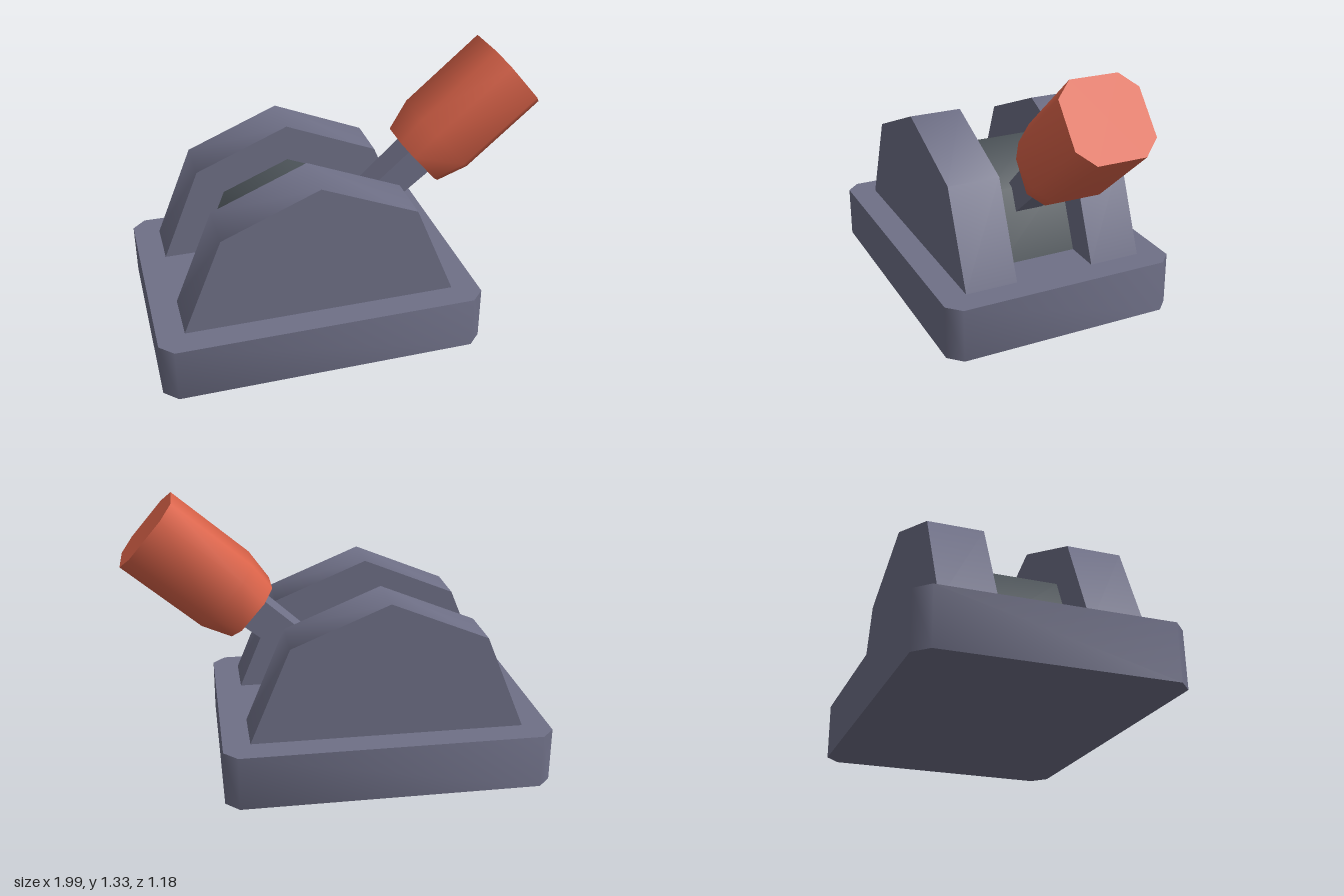
import * as THREE from 'three';
import { toCreasedNormals } from 'three/addons/utils/BufferGeometryUtils.js';

const material = (name, color) => new THREE.MeshStandardMaterial({ name, color });

const BASE_TOP = 0.265;
const ARCH_X = -0.215;

// Soften the 45 degree edges, keep right angles sharp
const soften = (geometry) => toCreasedNormals(geometry, 0.9);

// Corners of a square with cut corners: half width w, half straight side s
const cutSquare = (w, s, h = w) => {
  const cut = w - s;
  return [
    [w, -h + cut], [w, h - cut], [w - cut, h], [-w + cut, h],
    [-w, h - cut], [-w, -h + cut], [-w + cut, -h], [w - cut, -h],
  ];
};

const extrude = (points, depth) => new THREE.ExtrudeGeometry(
  new THREE.Shape(points.map(([x, y]) => new THREE.Vector2(x, y))),
  { depth, bevelEnabled: false },
);

// Half octagon standing on the base, spanning z0 to z1
function archGeometry(radius, z0, z1) {
  const points = [];
  for (let i = 0; i <= 4; i++) {
    const a = (i * Math.PI) / 4;
    points.push([radius * Math.cos(a), radius * Math.sin(a)]);
  }
  return soften(extrude(points, z1 - z0).translate(ARCH_X, BASE_TOP, z0));
}

// Closed loft along y through cut-square sections [y, w, s]
function loftGeometry(sections) {
  const rings = sections.map(([y, w, s]) =>
    cutSquare(w, s).map(([x, z]) => [x, y, -z]));
  const n = rings[0].length;
  const positions = [];
  const tri = (a, b, c) => positions.push(...a, ...b, ...c);
  const last = rings.length - 1;
  for (let i = 0; i < n; i++) {
    const j = (i + 1) % n;
    for (let k = 0; k < last; k++) {
      const lower = rings[k];
      const upper = rings[k + 1];
      tri(lower[i], lower[j], upper[j]);
      tri(lower[i], upper[j], upper[i]);
    }
    tri(rings[0][j], rings[0][i], [0, sections[0][0], 0]);
    tri(rings[last][i], rings[last][j], [0, sections[last][0], 0]);
  }
  const geometry = new THREE.BufferGeometry();
  geometry.setAttribute('position', new THREE.Float32BufferAttribute(positions, 3));
  return soften(geometry);
}

export function createModel() {
  const housing = material('blue grey housing', 0x6f7087);
  const drumGrey = material('dark grey drum', 0x4a5156);
  const gripRed = material('red grip', 0xdb6349);

  const model = new THREE.Group();
  model.name = 'leverSwitch';
  const add = (parent, name, geometry, mat) => {
    const mesh = new THREE.Mesh(geometry, mat);
    mesh.name = name;
    parent.add(mesh);
    return mesh;
  };

  // Base slab with cut corners
  const slab = extrude(cutSquare(0.785, 0.72, 0.592), BASE_TOP);
  slab.rotateX(-Math.PI / 2).translate(-0.215, 0, 0);
  add(model, 'base', soften(slab), housing);

  // Side cheeks with the lower drum between them
  add(model, 'leftCheek', archGeometry(0.655, 0.2, 0.46), housing);
  add(model, 'rightCheek', archGeometry(0.655, -0.46, -0.2), housing);
  add(model, 'drum', archGeometry(0.472, -0.2, 0.2), drumGrey);

  // Lever: local y runs from the stem up through the grip
  const lever = new THREE.Group();
  lever.name = 'lever';
  lever.position.set(0.39, 0.777, 0);
  lever.rotation.z = -0.862;
  model.add(lever);

  const stem = new THREE.CylinderGeometry(0.082 * Math.SQRT2, 0.068 * Math.SQRT2, 0.52, 4);
  stem.rotateY(Math.PI / 4).translate(0, -0.24, 0);
  add(lever, 'stem', soften(stem), housing);

  add(lever, 'grip', loftGeometry([
    [0, 0.155, 0.085],
    [0.155, 0.191, 0.115],
    [0.632, 0.191, 0.115],
  ]), gripRed);

  return model;
}
